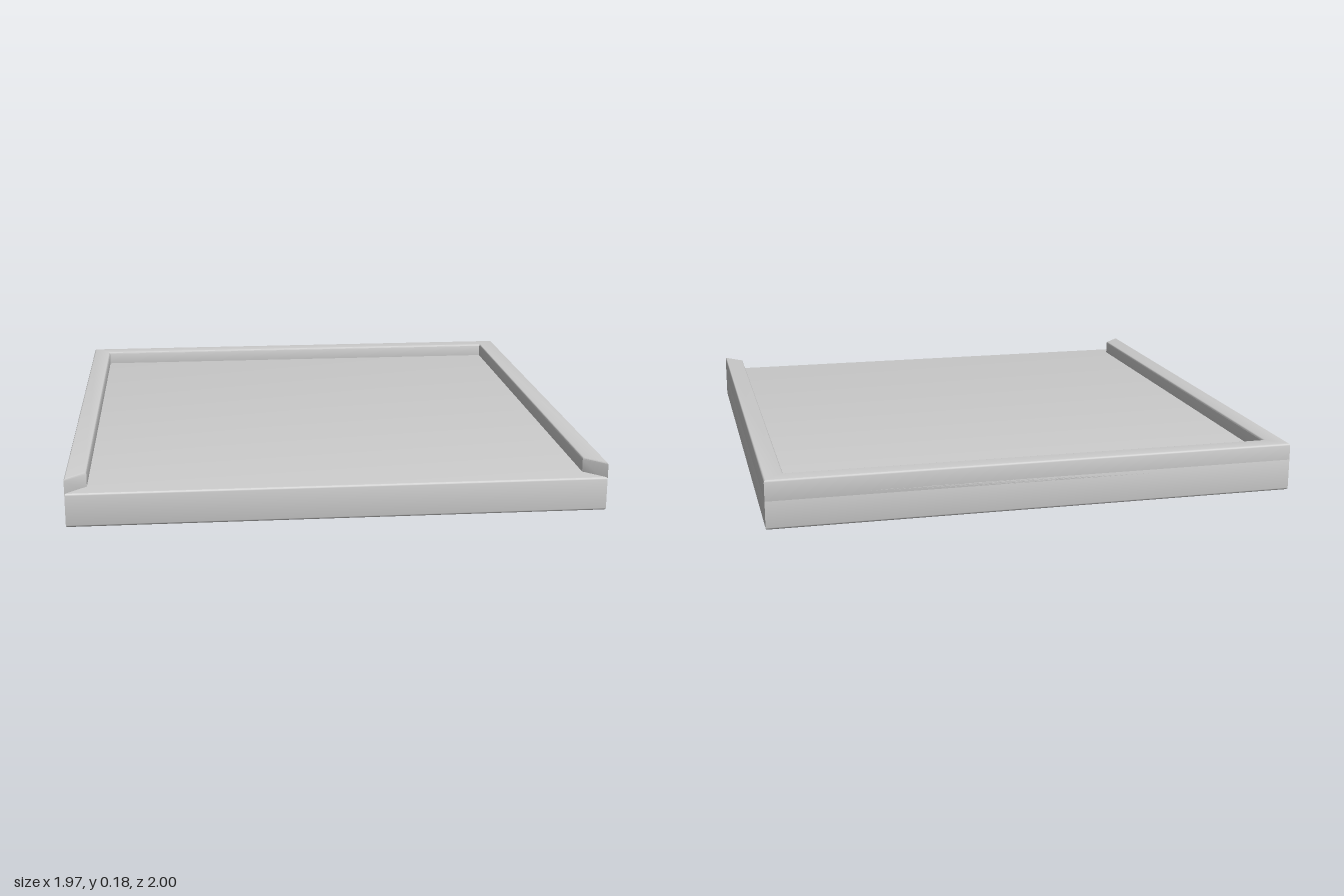
import * as THREE from 'three';
import { toCreasedNormals } from 'three/addons/utils/BufferGeometryUtils.js';

const W = 0.985, D = 1;            // half width, half depth
const FLOOR = 0.127, TOP = 0.182;  // floor height, rim height
const RIM = 0.075, BEVEL = 0.008;  // rim width, edge softening

// Extrudes an [x, z] outline upwards from y0 to y1 with softened edges.
function slab(name, outline, y0, y1, material) {
  const shape = new THREE.Shape(outline.map(([x, z]) => new THREE.Vector2(x, -z)));
  const geometry = new THREE.ExtrudeGeometry(shape, {
    depth: y1 - y0 - 2 * BEVEL,
    bevelEnabled: true,
    bevelThickness: BEVEL,
    bevelSize: BEVEL,
    bevelOffset: -BEVEL,
    bevelSegments: 3,
  });
  geometry.rotateX(-Math.PI / 2);
  geometry.translate(0, y0 + BEVEL, 0);
  const mesh = new THREE.Mesh(toCreasedNormals(geometry, 0.6), material);
  mesh.name = name;
  return mesh;
}

export function createModel() {
  const group = new THREE.Group();
  group.name = 'tray';
  const material = new THREE.MeshStandardMaterial({ color: 0xcccccc });

  // Solid floor, open at the front edge
  group.add(slab('floor', [[-W, D], [W, D], [W, -D], [-W, -D]], 0, FLOOR, material));

  // Raised rim on the left, back and right, mitred at its front ends
  const x = W - RIM, z = D - RIM;
  group.add(slab('rim', [
    [W, D], [W, -D], [-W, -D], [-W, D],
    [-x, z], [-x, -z], [x, -z], [x, z],
  ], FLOOR - 0.03, TOP, material));

  return group;
}
